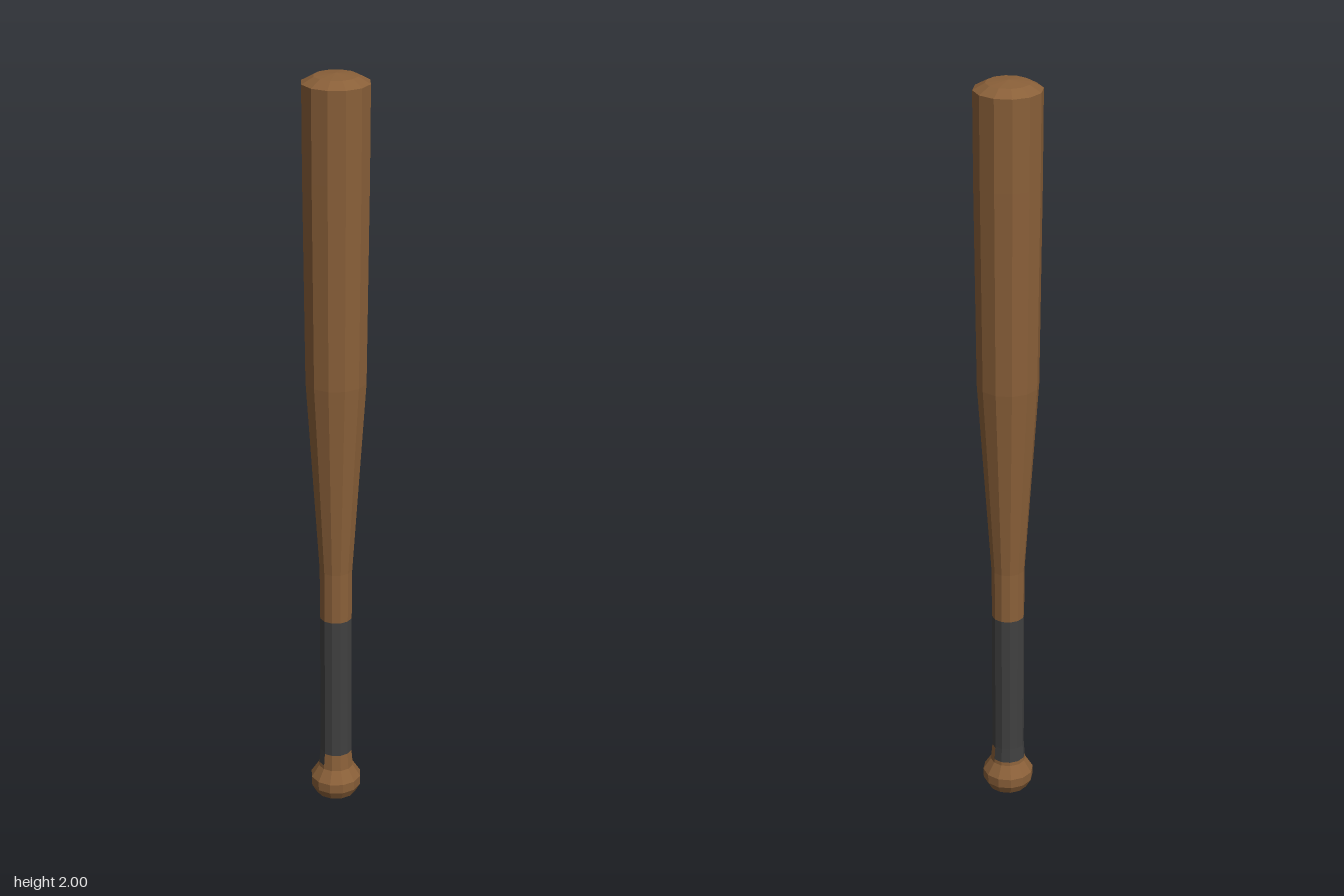
import * as THREE from 'three';

const wood = new THREE.MeshStandardMaterial({ color: 0x8a6039, flatShading: true });
const tape = new THREE.MeshStandardMaterial({ color: 0x404040, flatShading: true });

// Faceted turned part from [radius, height] pairs listed bottom to top
function turned(name, profile, material, sides = 12, start = 0, sweep = Math.PI * 2) {
  const points = profile.map(([r, y]) => new THREE.Vector2(r, y));
  const mesh = new THREE.Mesh(new THREE.LatheGeometry(points, sides, start, sweep), material);
  mesh.name = name;
  return mesh;
}

export function createModel() {
  const bat = new THREE.Group();
  bat.name = 'bat';
  const gripTop = 0.53;

  // Barrel with its tapering neck and domed end
  bat.add(turned('barrel', [
    [0.043, gripTop], [0.044, 0.67], [0.08, 1.2], [0.086, 1.74], [0.087, 1.977],
  ], wood));
  bat.add(turned('barrelEnd', [[0.087, 1.977], [0.056, 1.994], [0, 2]], wood));

  // Rounded knob
  bat.add(turned('knob', [
    [0, 0], [0.053, 0.003], [0.067, 0.027], [0.068, 0.053], [0.047, 0.085],
  ], wood));

  // The tape reaches lower on the back half than on the front half
  const halves = [['front', -Math.PI / 2, 0.13], ['back', Math.PI / 2, 0.095]];
  for (const [side, start, edge] of halves) {
    const edgeRadius = edge > 0.12 ? 0.043 : 0.0457;
    const collar = [[0.047, 0.085], [edgeRadius, edge]];
    const grip = [[edgeRadius, edge], [0.043, 0.135], [0.043, gripTop]];
    bat.add(turned(side + 'Collar', collar, wood, 6, start, Math.PI));
    bat.add(turned(side + 'Grip', grip, tape, 6, start, Math.PI));
  }
  return bat;
}
